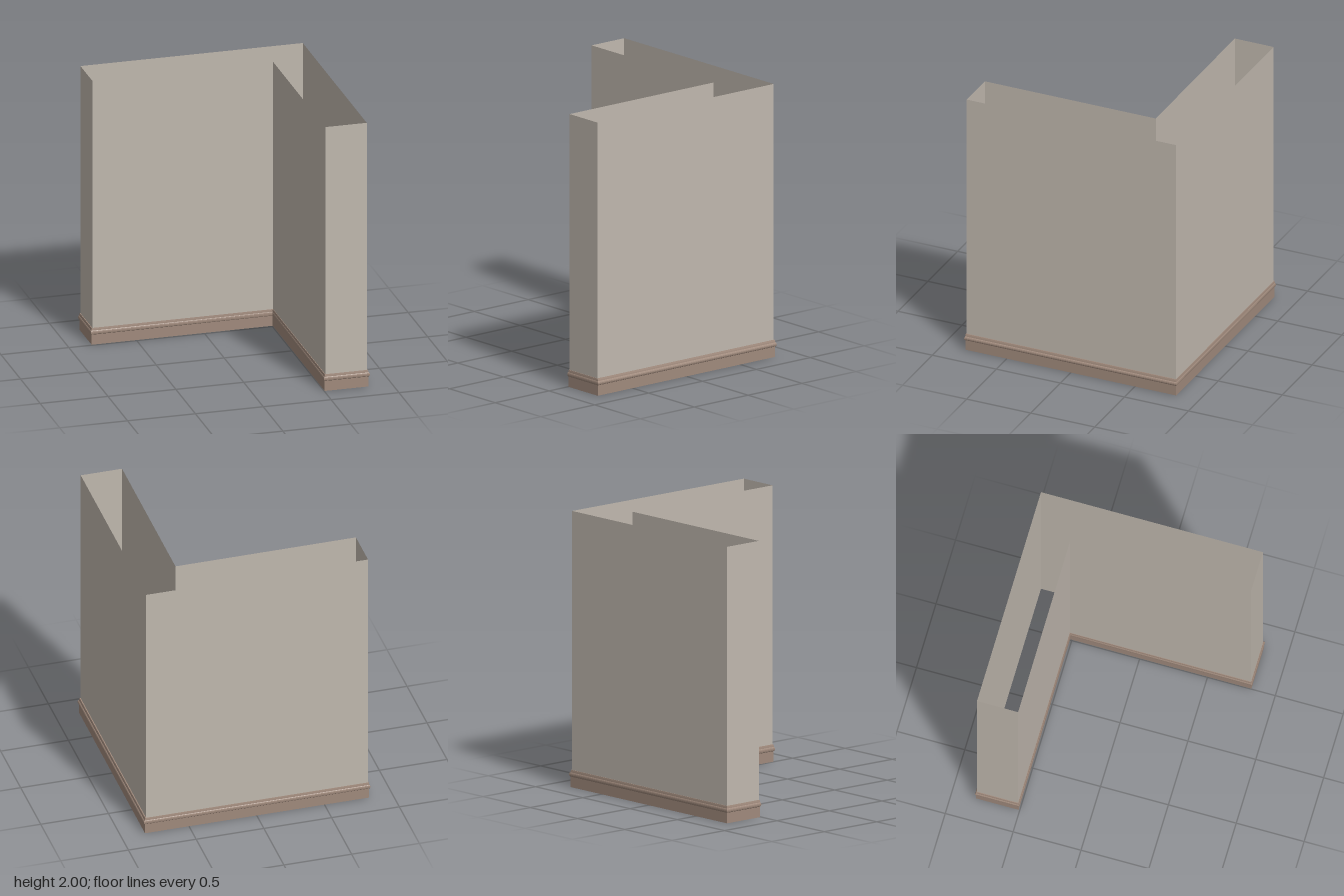
import * as THREE from 'three';

// L-shaped plan of the wall faces, as [x, z], clockwise seen from above
const wallPlan = [
  [-0.823, -0.817], [0.815, -0.817], [0.815, 0.818],
  [0.51, 0.818], [0.51, -0.517], [-0.823, -0.514],
];

// Outermost line of the skirting around the same corners
const trimPlan = [
  [-0.837, -0.828], [0.835, -0.828], [0.835, 0.828],
  [0.497, 0.828], [0.502, -0.51], [-0.837, -0.503],
];

// Skirting section: [projection from the wall 0..1, height]
const trimProfile = [
  [0, 0], [0.5, 0], [0.5, 0.076], [0.85, 0.08], [1, 0.088], [1, 0.096],
  [0.85, 0.103], [0.6, 0.107], [0.5, 0.116], [0.35, 0.125], [0, 0.125],
];

// Flat-faced band joining a profile of rings around the plan
function band(profile) {
  const rings = profile.map(([t, y]) => wallPlan.map(([x, z], i) => [
    x + (trimPlan[i][0] - x) * t, y, z + (trimPlan[i][1] - z) * t,
  ]));
  const positions = [];
  for (let r = 0; r < rings.length - 1; r++) {
    for (let i = 0; i < wallPlan.length; i++) {
      const j = (i + 1) % wallPlan.length;
      const a = rings[r][i], b = rings[r][j];
      const c = rings[r + 1][j], d = rings[r + 1][i];
      positions.push(...a, ...d, ...c, ...a, ...c, ...b);
    }
  }
  const geometry = new THREE.BufferGeometry();
  geometry.setAttribute('position', new THREE.Float32BufferAttribute(positions, 3));
  geometry.computeVertexNormals();
  return geometry;
}

export function createModel() {
  const group = new THREE.Group();
  group.name = 'cornerWall';

  const plaster = new THREE.MeshStandardMaterial({ color: 0xc0b8ae, side: THREE.DoubleSide });
  plaster.name = 'plaster';
  const wood = new THREE.MeshStandardMaterial({ color: 0xa08a7c, side: THREE.DoubleSide });
  wood.name = 'wood';

  // Thin wall shell, open at top and bottom
  const walls = new THREE.Mesh(band([[0, 0], [0, 2]]), plaster);
  walls.name = 'walls';

  // Moulded skirting running around the foot of the wall
  const skirting = new THREE.Mesh(band(trimProfile), wood);
  skirting.name = 'skirting';

  group.add(walls, skirting);
  return group;
}
